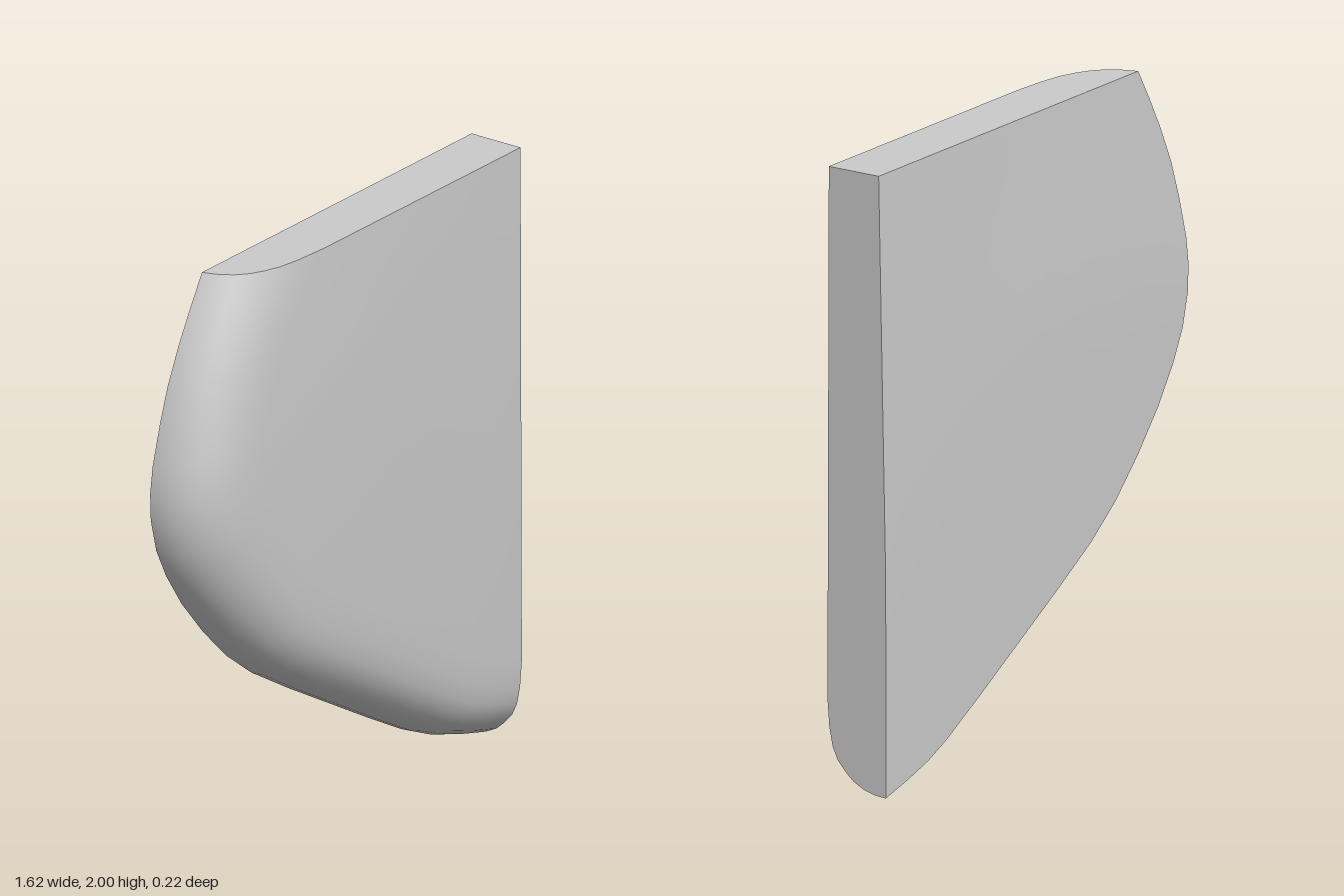
import * as THREE from 'three';
import { toCreasedNormals } from 'three/addons/utils/BufferGeometryUtils.js';

// Curved edge, from the top corner down to the bottom corner
const OUTLINE = [
  [-0.58, 2], [-0.635, 1.9], [-0.69, 1.79], [-0.74, 1.67], [-0.775, 1.55], [-0.805, 1.42],
  [-0.813, 1.33], [-0.808, 1.24], [-0.78, 1.13], [-0.73, 1.03], [-0.65, 0.91], [-0.54, 0.78],
  [-0.42, 0.66], [-0.29, 0.56], [-0.1, 0.445], [0.1, 0.33], [0.3, 0.215], [0.48, 0.115],
  [0.58, 0.07], [0.69, 0.035], [0.81, 0.003],
];
// Rounded front edge: inset from the outline, z
const ROUND = [[0.004, -0.07], [0.018, -0.03], [0.045, 0.01], [0.08, 0.04], [0.125, 0.063],
  [0.18, 0.082], [0.26, 0.094], [0.38, 0.101]];
const CORNER = [0.81, 2];
const BACK_STEPS = 8;

// Back surface: flat below a curved line, then leaning forward to the top
function backZ(x, y) {
  const start = 1.3 - 0.6 * Math.max(0, x + 0.2) ** 2;
  return -0.112 + 0.027 * Math.max(0, (y - start) / (2 - start));
}

// One section through the slab: back corner, outline, rounded edge, front corner
function section([x, y], t) {
  const points = [];
  for (let k = 0; k <= BACK_STEPS; k++) {
    const f = k / BACK_STEPS;
    const px = CORNER[0] + (x - CORNER[0]) * f;
    const py = CORNER[1] + (y - CORNER[1]) * f;
    points.push(new THREE.Vector3(px, py, backZ(px, py)));
  }
  const angle = t * Math.PI / 2;
  const width = 1 - 0.25 * Math.sin(angle);
  for (const [inset, z] of ROUND) {
    const bulge = z > 0.06 ? 0.007 * t : 0;
    points.push(new THREE.Vector3(
      x + Math.cos(angle) * inset * width, y + Math.sin(angle) * inset * width, z + bulge));
  }
  points.push(new THREE.Vector3(CORNER[0], CORNER[1], 0.103));
  return points;
}

function slabGeometry() {
  const last = OUTLINE.length - 1;
  const rows = OUTLINE.map((p, i) => section(p, i / last));
  const positions = [];
  const triangle = (a, b, c) => {
    const area = b.clone().sub(a).cross(c.clone().sub(a)).length();
    if (area > 1e-9) for (const v of [a, b, c]) positions.push(v.x, v.y, v.z);
  };
  // Back, rounded edge and front
  for (let i = 0; i < last; i++) {
    const a = rows[i], b = rows[i + 1];
    for (let j = 0; j < a.length - 1; j++) {
      triangle(a[j], b[j], b[j + 1]);
      triangle(a[j], b[j + 1], a[j + 1]);
    }
  }
  // Flat top and flat straight side
  const top = rows[0], side = rows[last], end = top.length - 1;
  for (let j = 0; j < end - 1; j++) {
    triangle(top[end], top[j], top[j + 1]);
    triangle(side[end], side[j + 1], side[j]);
  }
  const geometry = new THREE.BufferGeometry();
  geometry.setAttribute('position', new THREE.Float32BufferAttribute(positions, 3));
  return toCreasedNormals(geometry, 0.6);
}

export function createModel() {
  const group = new THREE.Group();
  const slab = new THREE.Mesh(slabGeometry(), new THREE.MeshStandardMaterial({ color: 0xcccccc }));
  slab.name = 'roundedPanel';
  group.add(slab);
  return group;
}
